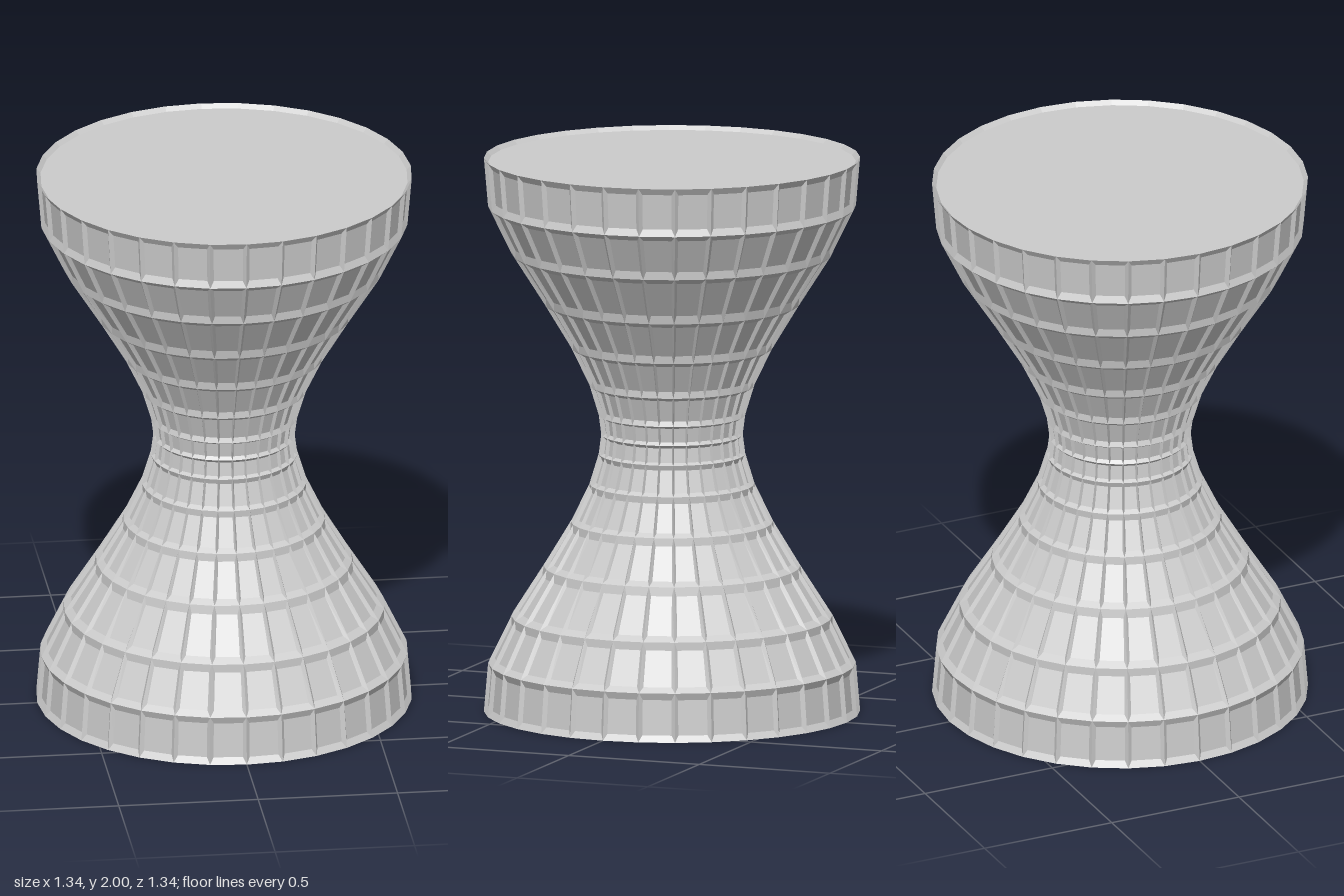
import * as THREE from 'three';

const SIDES = 32;
const DEPTH = 0.012; // how far each panel sinks behind its ridges

// Lower half of the hourglass profile: [radius, height]
const HALF = [
  [0.67, 0], [0.655, 0.175], [0.572, 0.345], [0.457, 0.525],
  [0.36, 0.685], [0.294, 0.822], [0.261, 0.93],
];
const PROFILE = [
  ...HALF, [0.252, 1],
  ...HALF.map(([r, y]) => [r, 2 - y]).reverse(),
];

const ringPoint = ([r, y], i) => {
  const a = (i / SIDES) * Math.PI * 2;
  return new THREE.Vector3(r * Math.sin(a), y, r * Math.cos(a));
};

// Body wall: every grid cell is a sunken panel framed by four sloping strips
function bodyGeometry() {
  const positions = [];
  const quad = (a, b, c, d) => {
    for (const p of [a, b, c, a, c, d]) positions.push(p.x, p.y, p.z);
  };
  for (let row = 0; row < PROFILE.length - 1; row++) {
    for (let i = 0; i < SIDES; i++) {
      const outer = [
        ringPoint(PROFILE[row], i), ringPoint(PROFILE[row], i + 1),
        ringPoint(PROFILE[row + 1], i + 1), ringPoint(PROFILE[row + 1], i),
      ];
      const [bl, br, tr, tl] = outer;
      const normal = br.clone().sub(bl).cross(tl.clone().sub(bl)).normalize();
      const at = (u, v) => bl.clone().lerp(br, u)
        .lerp(tl.clone().lerp(tr, u), v)
        .addScaledVector(normal, -DEPTH);
      const u = 0.1, v = 0.14;
      const inner = [at(u, v), at(1 - u, v), at(1 - u, 1 - v), at(u, 1 - v)];
      for (let k = 0; k < 4; k++) {
        const n = (k + 1) % 4;
        quad(outer[k], outer[n], inner[n], inner[k]);
      }
      quad(...inner);
    }
  }
  const geometry = new THREE.BufferGeometry();
  geometry.setAttribute('position', new THREE.Float32BufferAttribute(positions, 3));
  geometry.computeVertexNormals();
  return geometry;
}

export function createModel() {
  const model = new THREE.Group();
  model.name = 'hourglassStool';
  const material = new THREE.MeshStandardMaterial({
    color: 0xcccccc, flatShading: true, side: THREE.DoubleSide,
  });

  const body = new THREE.Mesh(bodyGeometry(), material);
  body.name = 'panelledBody';
  model.add(body);

  // Slightly dished disc with a sloping rim, used for both ends
  const dish = new THREE.LatheGeometry([
    new THREE.Vector2(0.67, 2),
    new THREE.Vector2(0.655, 1.985),
    new THREE.Vector2(0, 1.985),
  ], SIDES);
  const seat = new THREE.Mesh(dish, material);
  seat.name = 'seat';
  const base = new THREE.Mesh(dish, material);
  base.name = 'base';
  base.rotation.x = Math.PI;
  base.position.y = 2;
  model.add(seat, base);

  return model;
}
